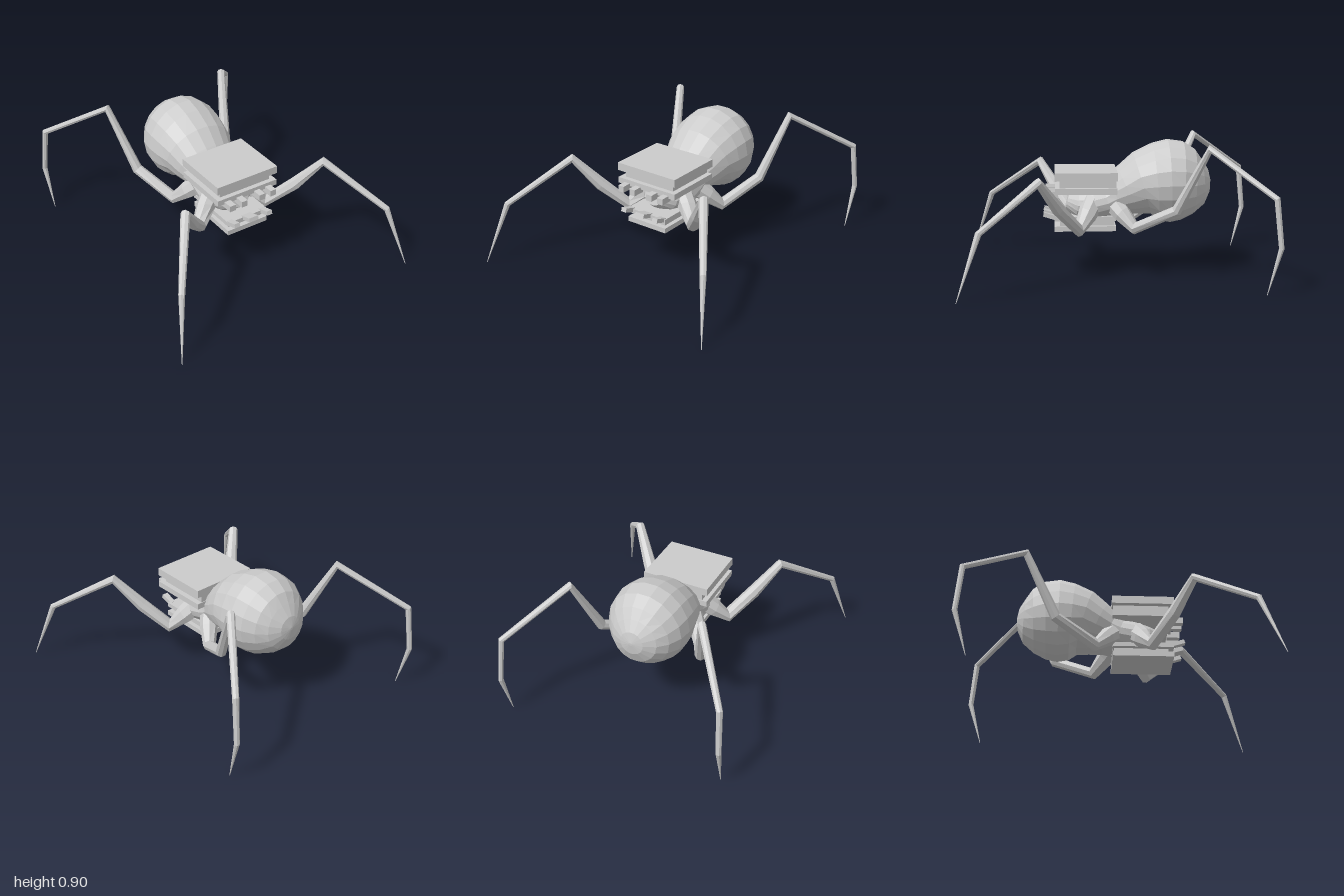
import * as THREE from 'three';

const mat = new THREE.MeshStandardMaterial({ color: 0xcccccc, flatShading: true });

// Lofts elliptical rings [x, y, z, radiusSide, radiusUp] along a path.
function loft(rings, side, segments) {
  const centres = rings.map(r => new THREE.Vector3(r[0], r[1], r[2]));
  const pos = [], index = [];
  rings.forEach((r, i) => {
    const before = centres[Math.max(i - 1, 0)];
    const after = centres[Math.min(i + 1, rings.length - 1)];
    const a = centres[i].clone().sub(before).normalize();
    const b = after.clone().sub(centres[i]).normalize();
    const normal = a.add(b).normalize().cross(side).normalize();
    for (let j = 0; j < segments; j++) {
      const t = (j / segments) * Math.PI * 2;
      const p = centres[i].clone()
        .addScaledVector(side, Math.cos(t) * r[3])
        .addScaledVector(normal, Math.sin(t) * (r[4] ?? r[3]));
      pos.push(p.x, p.y, p.z);
    }
  });
  for (let i = 0; i < rings.length - 1; i++) {
    for (let j = 0; j < segments; j++) {
      const k = (j + 1) % segments, a = i * segments, b = a + segments;
      index.push(a + j, a + k, b + k, a + j, b + k, b + j);
    }
  }
  // End caps
  const last = (rings.length - 1) * segments;
  for (let j = 1; j < segments - 1; j++) {
    index.push(0, j + 1, j, last, last + j, last + j + 1);
  }
  const g = new THREE.BufferGeometry();
  g.setAttribute('position', new THREE.Float32BufferAttribute(pos, 3));
  g.setIndex(index);
  g.computeVertexNormals();
  return g;
}

function add(parent, name, geometry) {
  const mesh = new THREE.Mesh(geometry, mat);
  mesh.name = name;
  parent.add(mesh);
  return mesh;
}

// Box given by its extents
function box(parent, name, x0, x1, y0, y1, z0, z1) {
  const mesh = add(parent, name, new THREE.BoxGeometry(x1 - x0, y1 - y0, z1 - z0));
  mesh.position.set((x0 + x1) / 2, (y0 + y1) / 2, (z0 + z1) / 2);
  return mesh;
}

// Leg joints for the +x side: x, y, z, radius
const frontLeg = [
  [0.10, 0.50, 0.15, 0.075],
  [0.18, 0.43, 0.19, 0.065],
  [0.27, 0.345, 0.25, 0.047],
  [0.40, 0.50, 0.38, 0.044],
  [0.535, 0.695, 0.505, 0.031],
  [0.795, 0.425, 0.865, 0.021],
  [0.885, 0.02, 1.0, 0.002],
];
const backLeg = [
  [0.10, 0.50, 0.02, 0.07],
  [0.17, 0.43, -0.04, 0.06],
  [0.235, 0.345, -0.12, 0.042],
  [0.36, 0.48, -0.38, 0.036],
  [0.46, 0.89, -0.58, 0.027],
  [0.755, 0.615, -0.955, 0.021],
  [0.77, 0.31, -0.985, 0.018],
  [0.755, 0.015, -0.905, 0.002],
];

function addLeg(parent, name, joints, sign) {
  const rings = joints.map(([x, y, z, r]) => [x * sign, y, z, r]);
  const a = rings[0], b = rings[rings.length - 1];
  const side = new THREE.Vector3(b[2] - a[2], 0, a[0] - b[0]).normalize();
  add(parent, name, loft(rings, side, 8));
}

export function createModel() {
  const model = new THREE.Group();
  model.name = 'spider';

  // Thorax running back into the round abdomen
  add(model, 'body', loft([
    [0, 0.50, 0.32, 0.07, 0.06],
    [0, 0.48, 0.25, 0.14, 0.10],
    [0, 0.48, 0.14, 0.19, 0.12],
    [0, 0.50, 0.05, 0.18, 0.12],
    [0, 0.53, -0.01, 0.18, 0.14],
    [0, 0.565, -0.09, 0.215, 0.175],
    [0, 0.61, -0.18, 0.248, 0.215],
    [0, 0.62, -0.27, 0.268, 0.26],
    [0, 0.625, -0.36, 0.274, 0.28],
    [0, 0.625, -0.45, 0.26, 0.265],
    [0, 0.62, -0.53, 0.215, 0.22],
    [0, 0.62, -0.59, 0.155, 0.155],
    [0, 0.625, -0.63, 0.08, 0.08],
    [0, 0.625, -0.643, 0.01, 0.01],
  ], new THREE.Vector3(1, 0, 0), 18));

  // Legs in mirrored pairs
  for (const sign of [1, -1]) {
    const label = sign > 0 ? 'left' : 'right';
    addLeg(model, label + 'FrontLeg', frontLeg, sign);
    addLeg(model, label + 'BackLeg', backLeg, sign);
  }

  // Upper jaw: stacked plates with teeth below the front edge
  const upper = new THREE.Group();
  upper.name = 'upperJaw';
  box(upper, 'lid', -0.228, 0.235, 0.657, 0.71, -0.008, 0.402);
  box(upper, 'middlePlate', -0.19, 0.197, 0.606, 0.657, 0, 0.37);
  box(upper, 'gumPlate', -0.225, 0.233, 0.568, 0.608, -0.005, 0.402);
  for (const x of [-0.153, -0.062, 0.075, 0.163]) {
    box(upper, 'upperTooth', x - 0.022, x + 0.022, 0.543, 0.585, 0.38, 0.465);
  }
  model.add(upper);

  // Lower jaw: smaller stacked plates with upturned teeth
  const lower = new THREE.Group();
  lower.name = 'lowerJaw';
  box(lower, 'basePlate', -0.147, 0.16, 0.312, 0.346, 0, 0.405);
  box(lower, 'middlePlate', -0.115, 0.13, 0.346, 0.382, 0.01, 0.37);
  box(lower, 'gumPlate', -0.147, 0.16, 0.38, 0.41, 0, 0.405);
  for (const [x, w] of [[-0.125, 0.04], [0.005, 0.07], [0.13, 0.04]]) {
    const tooth = box(lower, 'lowerTooth', x - w / 2, x + w / 2, 0.398, 0.426, 0.385, 0.478);
    tooth.rotation.x = -0.3;
  }
  model.add(lower);

  return model;
}
